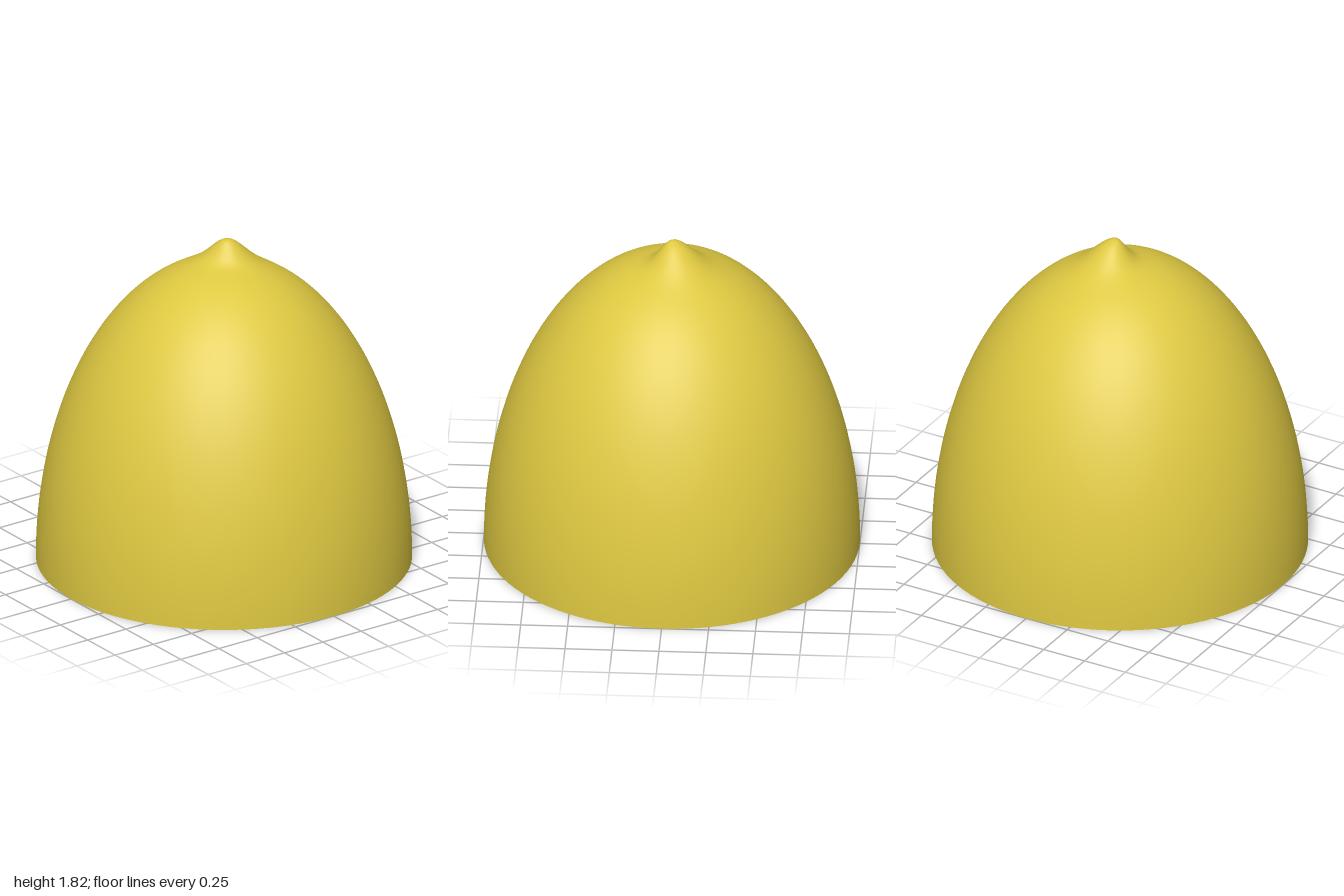
import * as THREE from 'three';
import { mergeVertices } from 'three/addons/utils/BufferGeometryUtils.js';

const HEIGHT = 1.705; // dome height without the nub
const NUB = 0.118; // extra height of the nub

// Nub: steep towards the front and left, drawn out towards the back and right
function nubHeight(x, z) {
  const dx = x + 0.005, dz = z + 0.025;
  const d = Math.hypot(dx, dz);
  if (d < 1e-6) return NUB;
  const along = (-dx - dz) / (d * Math.SQRT2);
  const width = 0.115 + 0.04 * along;
  return NUB * Math.exp(-((d / width) ** 2));
}

export function createModel() {
  const group = new THREE.Group();
  group.name = 'halfLemon';

  const lemonYellow = new THREE.MeshStandardMaterial({ color: 0xdec841, side: THREE.DoubleSide });
  lemonYellow.name = 'lemonYellow';

  // Half ellipsoid profile, from the open rim up to the pole
  const profile = [];
  const rings = 90;
  for (let i = 0; i <= rings; i++) {
    const a = (i / rings) * Math.PI / 2;
    profile.push(new THREE.Vector2(i === rings ? 0 : Math.cos(a), HEIGHT * Math.sin(a)));
  }
  let geometry = new THREE.LatheGeometry(profile, 96);

  // Raise the pointed nub
  const p = geometry.attributes.position;
  for (let i = 0; i < p.count; i++) {
    p.setY(i, p.getY(i) + nubHeight(p.getX(i), p.getZ(i)));
  }

  // Weld the seam and pole so the shading is smooth
  geometry.deleteAttribute('uv');
  geometry.deleteAttribute('normal');
  geometry = mergeVertices(geometry, 1e-5);
  geometry.computeVertexNormals();

  const peel = new THREE.Mesh(geometry, lemonYellow);
  peel.name = 'peel';
  group.add(peel);
  return group;
}
